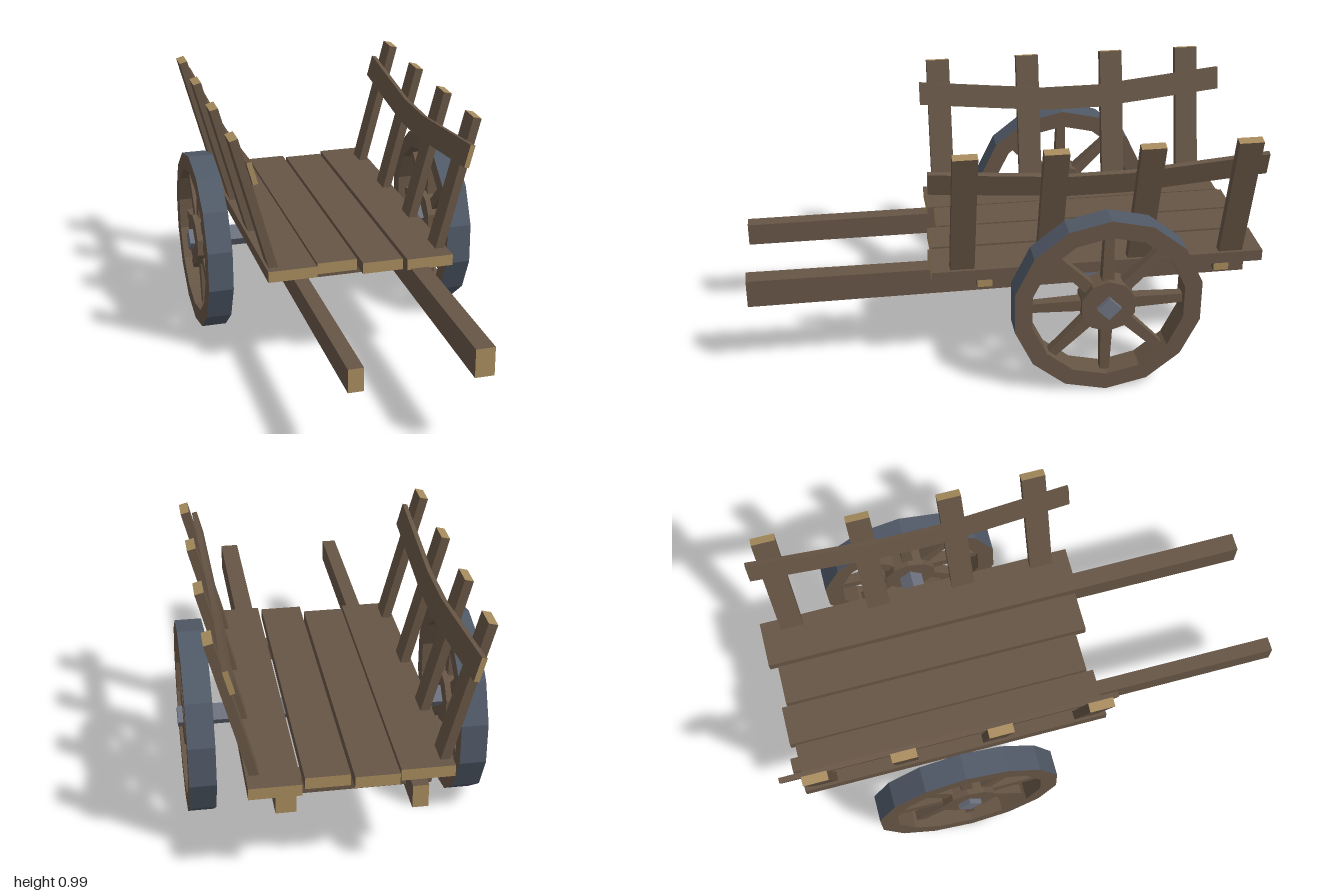
import * as THREE from 'three';

const flat = (name, color) => Object.assign(
  new THREE.MeshStandardMaterial({ color, flatShading: true }), { name });

export function createModel() {
  const wood = flat('brown wood', 0x665545);
  const endGrain = flat('pale end grain', 0xa58a5c);
  const iron = flat('dark iron tyre', 0x505967);
  const steel = flat('grey axle metal', 0x6c717e);

  const cart = new THREE.Group();
  cart.name = 'handcart';

  const add = (parent, name, geometry, material) => {
    const mesh = new THREE.Mesh(geometry, material);
    mesh.name = name;
    parent.add(mesh);
    return mesh;
  };

  // Timber box with pale end grain on the two faces across the given axis
  const timber = (parent, name, size, pos, axis) => {
    const i = 'xyz'.indexOf(axis);
    const mats = [0, 0, 1, 1, 2, 2].map(a => (a === i ? endGrain : wood));
    const mesh = add(parent, name, new THREE.BoxGeometry(...size), mats);
    mesh.position.set(...pos);
    return mesh;
  };

  // Floor planks: x0, x1, back z, front z
  [
    [-0.365, -0.172, -0.955, 0.265],
    [-0.165, -0.006, -0.975, 0.24],
    [0.005, 0.166, -0.955, 0.285],
    [0.18, 0.366, -0.99, 0.30],
  ].forEach(([x0, x1, z0, z1]) => timber(cart, 'floorPlank',
    [x1 - x0, 0.045, z1 - z0], [(x0 + x1) / 2, 0.4425, (z0 + z1) / 2], 'z'));

  // Long pulling shafts, the left one slightly thicker towards the handle
  timber(cart, 'rightShaft', [0.057, 0.09, 1.99], [-0.235, 0.373, 0.005], 'z');
  const leftShaft = timber(cart, 'leftShaft', [0.073, 0.105, 1.95], [0.232, 0.372, 0.025], 'z');
  const sp = leftShaft.geometry.attributes.position;
  for (let i = 0; i < sp.count; i++) {
    sp.setY(i, sp.getY(i) * (sp.getZ(i) > 0 ? 1.06 : 0.9));
  }

  // Cross beams under the floor
  for (const z of [0.09, -0.85]) {
    timber(cart, 'crossBeam', [0.6, 0.07, 0.06], [0, 0.385, z], 'x');
  }

  // Square axle set on its corner
  const axleGeo = new THREE.CylinderGeometry(0.046, 0.046, 1.13, 4).rotateZ(Math.PI / 2);
  add(cart, 'axle', axleGeo, steel).position.set(0, 0.37, -0.345);

  // Sagging rail: a box whose stations along z drop by a profile
  const stations = [-1, -0.5, -0.18, 0.18, 0.5, 1];
  const drops = [0, 0.031, 0.05, 0.05, 0.031, 0];
  const makeRail = (height, length) => {
    const geo = new THREE.BoxGeometry(0.02, height, length, 1, 1, 5);
    const p = geo.attributes.position;
    for (let i = 0; i < p.count; i++) {
      const k = Math.round((p.getZ(i) / length + 0.5) * 5);
      p.setZ(i, stations[k] * length / 2);
      p.setY(i, p.getY(i) - drops[k]);
    }
    return geo;
  };

  // Sloping sides: posts with a rail on the inside
  const sides = [
    { s: 1, name: 'leftSide', posts: [0.183, -0.148, -0.503, -0.865], rail: [-0.957, 0.313] },
    { s: -1, name: 'rightSide', posts: [0.183, -0.19, -0.545, -0.868], rail: [-1, 0.265] },
  ];
  for (const { s, name, posts, rail } of sides) {
    const side = new THREE.Group();
    side.name = name;
    side.position.set(s * 0.335, 0.46, 0);
    side.rotation.z = -s * 0.258;
    cart.add(side);
    for (const z of posts) {
      timber(side, 'sidePost', [0.034, 0.56, 0.093], [0, 0.27, z], 'y');
    }
    const mesh = add(side, 'sideRail', makeRail(0.092, rail[1] - rail[0]),
      [wood, wood, wood, wood, endGrain, endGrain]);
    mesh.position.set(-s * 0.026, 0.417, (rail[0] + rail[1]) / 2);
  }

  // Wheels: fourteen-sided rim with iron tyre, eight spokes and a hub
  const R = 0.365, r = 0.297, h = 0.05, SIDES = 14;
  const profile = [[R, h], [r, h], [r, -h], [R, -h]].map(p => new THREE.Vector2(...p));
  const rimGeo = new THREE.LatheGeometry(profile, SIDES).rotateZ(Math.PI / 2);
  const tyreGeo = new THREE.CylinderGeometry(R, R, 2 * h, SIDES, 1, true).rotateZ(Math.PI / 2);
  const hubGeo = new THREE.CylinderGeometry(0.107, 0.107, 0.09, 10).rotateZ(Math.PI / 2);
  const spokeGeo = new THREE.CylinderGeometry(0.025, 0.033, 0.23, 4)
    .rotateY(Math.PI / 4).translate(0, 0.195, 0);
  for (const s of [1, -1]) {
    const wheel = new THREE.Group();
    wheel.name = s > 0 ? 'leftWheel' : 'rightWheel';
    wheel.position.set(s * 0.5, 0.37, -0.345);
    wheel.rotation.x = Math.PI / 2;
    cart.add(wheel);
    add(wheel, 'rim', rimGeo, wood);
    add(wheel, 'tyre', tyreGeo, iron);
    add(wheel, 'hub', hubGeo, wood);
    for (let i = 0; i < 8; i++) {
      add(wheel, 'spoke', spokeGeo, wood).rotation.x = i * Math.PI / 4;
    }
  }

  return cart;
}
